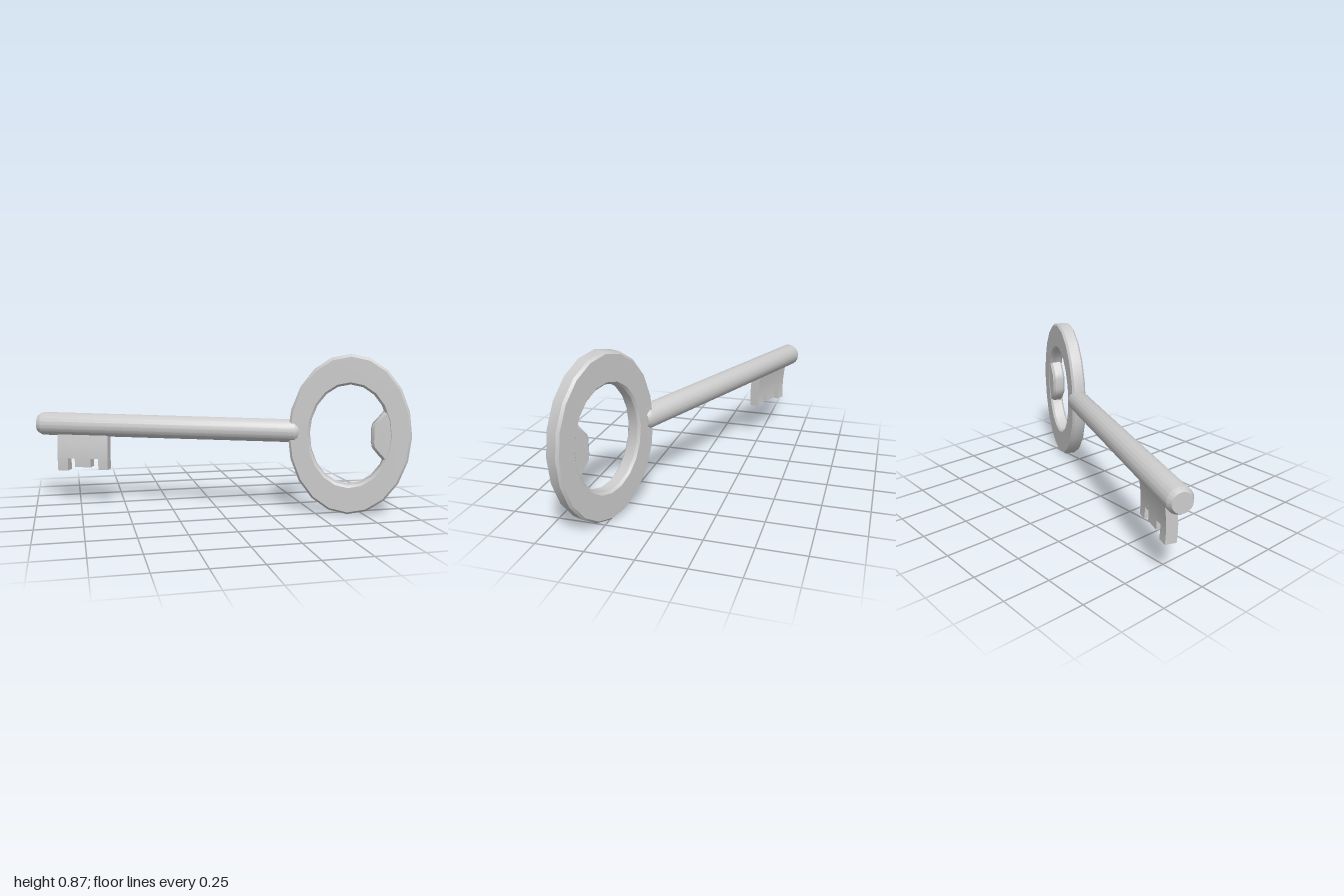
import * as THREE from 'three';
import { mergeGeometries, toCreasedNormals } from 'three/addons/utils/BufferGeometryUtils.js';

const material = new THREE.MeshStandardMaterial({ color: 0xcccccc });
const CREASE = 0.55;

function addPart(parent, name, geometry) {
  const mesh = new THREE.Mesh(toCreasedNormals(geometry, CREASE), material);
  mesh.name = name;
  parent.add(mesh);
  return mesh;
}

function ellipsePoints(rx, ry, n) {
  return Array.from({ length: n }, (_, i) => {
    const a = (i / n) * Math.PI * 2;
    return new THREE.Vector2(rx * Math.cos(a), ry * Math.sin(a));
  });
}

// Extrudes a shape to a total thickness, centred on z, with chamfered edges
function chamferedPlate(shape, thickness, chamfer) {
  const geometry = new THREE.ExtrudeGeometry(shape, {
    depth: thickness - 2 * chamfer, bevelEnabled: true, bevelSegments: 1,
    bevelThickness: chamfer, bevelSize: chamfer, bevelOffset: -chamfer,
  });
  return geometry.translate(0, 0, chamfer - thickness / 2);
}

export function createModel() {
  const model = new THREE.Group();
  model.name = 'key';

  // The key is built along x, then turned about the vertical
  const key = new THREE.Group();
  key.name = 'keyBody';
  key.rotation.y = -0.375;
  model.add(key);

  // Oval bow with an oval hole
  const oval = new THREE.Shape(ellipsePoints(0.329, 0.435, 20));
  oval.holes.push(new THREE.Path(ellipsePoints(0.211, 0.275, 20)));
  const bow = addPart(key, 'bow', chamferedPlate(oval, 0.084, 0.012));
  bow.position.set(0.7286, 0.437, 0.006);

  // Raised lug on the inner edge of the bow
  const lug = new THREE.Shape([
    [0.97, 0.29], [0.97, 0.59], [0.915, 0.575], [0.883, 0.535], [0.853, 0.5],
    [0.847, 0.47], [0.847, 0.40], [0.853, 0.37], [0.883, 0.335], [0.915, 0.30],
  ].map(([x, y]) => new THREE.Vector2(x, y)));
  addPart(key, 'bowLug', chamferedPlate(lug, 0.078, 0.014)).position.z = 0.006;

  // Round shaft, slightly tapered, chamfered at both ends
  const profile = [
    [0, -1.045], [0.052, -1.045], [0.067, -1.018],
    [0.0635, 0.435], [0.05, 0.457], [0, 0.457],
  ].map(([r, y]) => new THREE.Vector2(r, y));
  const shaftGeometry = new THREE.LatheGeometry(profile, 20).rotateZ(-Math.PI / 2);
  const shaft = addPart(key, 'shaft', shaftGeometry);
  shaft.position.set(0, 0.455, 0.004);
  shaft.rotation.z = -0.008;

  // Bit: a gently bowed plate with three teeth, in columns [start, end, bottom]
  const top = 0.44;
  const columns = [
    [-0.923, -0.862, 0.195], [-0.862, -0.82, 0.268], [-0.82, -0.725, 0.218],
    [-0.725, -0.68, 0.268], [-0.68, -0.624, 0.205],
  ].map(([x0, x1, bottom]) => new THREE.BoxGeometry(x1 - x0, top - bottom, 0.06, 1, 8, 1)
    .translate((x0 + x1) / 2, (top + bottom) / 2, 0));
  const bit = mergeGeometries(columns);
  const p = bit.attributes.position;
  for (let i = 0; i < p.count; i++) {
    p.setZ(i, p.getZ(i) + 0.004 + 0.014 * Math.sin(Math.PI * (0.42 - p.getY(i)) / 0.3));
  }
  addPart(key, 'bit', bit);

  return model;
}
